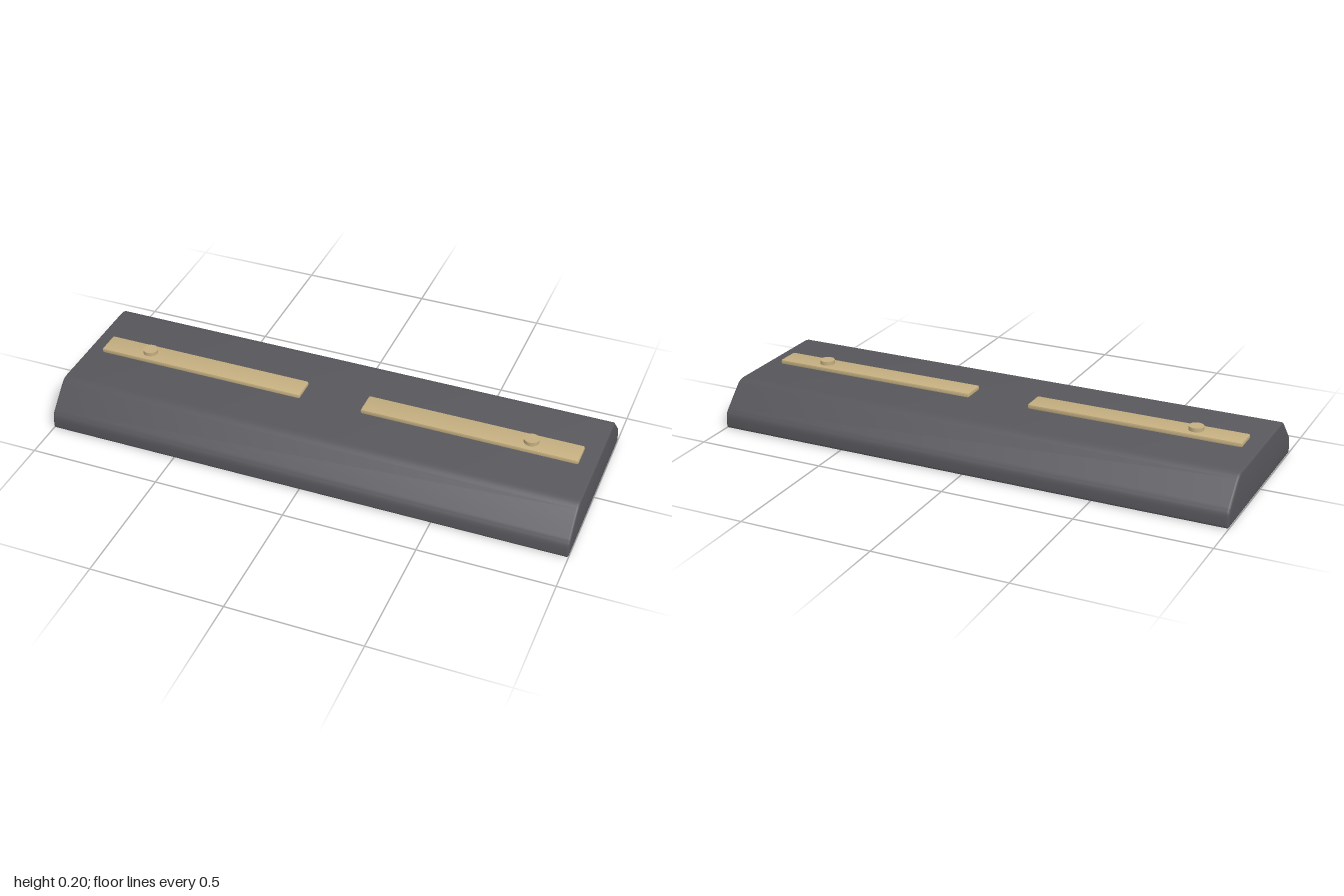
import * as THREE from 'three';
import { toCreasedNormals } from 'three/addons/utils/BufferGeometryUtils.js';

// Closed outline whose corners [x, y, radius] are rounded
function roundedOutline(corners) {
  const shape = new THREE.Shape();
  const n = corners.length;
  corners.forEach(([x, y, r], i) => {
    const p = new THREE.Vector2(x, y);
    const toward = ([qx, qy]) => new THREE.Vector2(qx, qy).sub(p).setLength(r).add(p);
    const a = toward(corners[(i + n - 1) % n]);
    const b = toward(corners[(i + 1) % n]);
    if (i === 0) shape.moveTo(a.x, a.y);
    else shape.lineTo(a.x, a.y);
    shape.quadraticCurveTo(x, y, b.x, b.y);
  });
  shape.closePath();
  return shape;
}

// Bevelled extrusion, centred along its depth, that keeps the outline's size
function bevelled(shape, length, bevel, segments) {
  const geometry = new THREE.ExtrudeGeometry(shape, {
    depth: length - 2 * bevel,
    bevelThickness: bevel,
    bevelSize: bevel,
    bevelOffset: -bevel,
    bevelSegments: segments,
    curveSegments: 5,
  });
  geometry.translate(0, 0, bevel - length / 2);
  return geometry;
}

export function createModel() {
  const model = new THREE.Group();
  const charcoal = new THREE.MeshStandardMaterial({ name: 'charcoal', color: 0x58575c });
  const brass = new THREE.MeshStandardMaterial({ name: 'brass', color: 0xc4ae80 });

  const add = (name, geometry, material, x = 0, y = 0) => {
    const mesh = new THREE.Mesh(geometry, material);
    mesh.name = name;
    mesh.position.set(x, y, 0);
    model.add(mesh);
  };

  // Long body with sloping shoulders
  const profile = roundedOutline([
    [-0.351, 0, 0.012], [0.351, 0, 0.012], [0.351, 0.06, 0.022],
    [0.246, 0.165, 0.022], [-0.246, 0.165, 0.022], [-0.351, 0.06, 0.022],
  ]);
  const body = bevelled(profile, 2, 0.008, 3).rotateY(Math.PI / 2);
  add('body', toCreasedNormals(body, 0.6), charcoal);

  // Two brass strips, each with a round contact pin near its outer end
  const stripOutline = roundedOutline([
    [-0.41, -0.047, 0.008], [0.41, -0.047, 0.008], [0.41, 0.047, 0.008], [-0.41, 0.047, 0.008],
  ]);
  const strip = toCreasedNormals(bevelled(stripOutline, 0.018, 0.006, 2).rotateX(-Math.PI / 2), 0.6);
  const pin = new THREE.CylinderGeometry(0.028, 0.028, 0.022, 32);
  for (const [side, sign] of [['left', 1], ['right', -1]]) {
    add(`${side}Strip`, strip, brass, sign * 0.53, 0.174);
    add(`${side}Pin`, pin, brass, sign * 0.755, 0.187);
  }
  return model;
}
